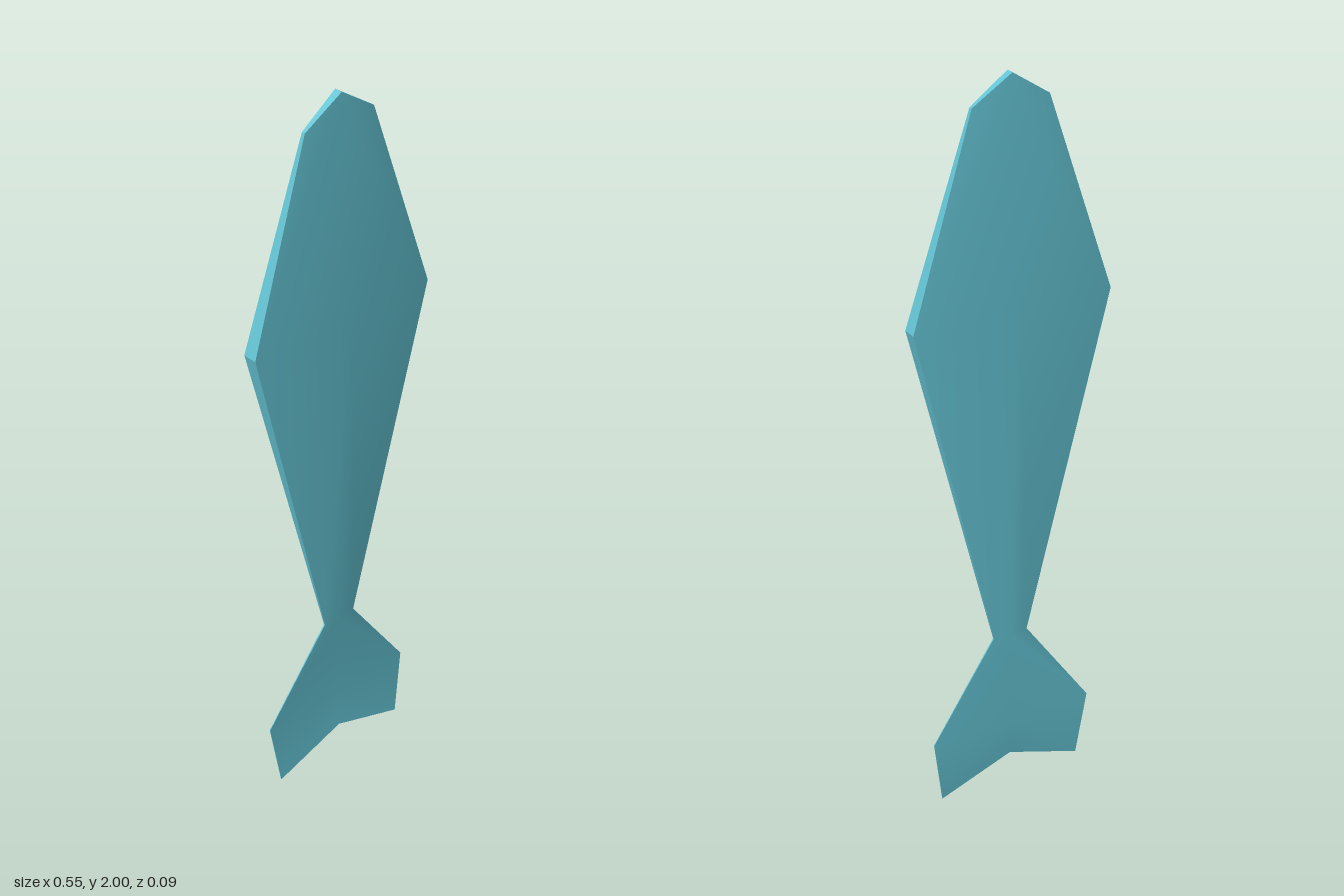
import * as THREE from 'three';

// Cross-sections from nose to tail tip:
// edge height, centre height, half width, centre half depth, edge half depth, z offset
const SECTIONS = [
  [1.93, 2.0, 0.105, 0.011, 0.005, -0.001],
  [1.4, 1.4, 0.277, 0.047, 0.02, -0.001],
  [0.46, 0.46, 0.05, 0.005, 0.002, 0],
  [0.19, 0.19, 0.237, 0.001, 0.001, -0.009],
  [0, 0.075, 0.21, 0.001, 0.001, 0.001],
];

// Point of a section: column -1, 0 or 1 across, side 1 front or -1 back
function point([edgeY, midY, w, midD, edgeD, z], column, side) {
  return [column * w, column ? edgeY : midY, z + side * (column ? edgeD : midD)];
}

function geometryOf(points, index) {
  let g = new THREE.BufferGeometry();
  g.setAttribute('position', new THREE.Float32BufferAttribute(points.flat(), 3));
  g.setIndex(index);
  return g;
}

// Smooth broad face, three columns wide
function faceGeometry(side) {
  const points = SECTIONS.flatMap((s) => [-1, 0, 1].map((c) => point(s, c * side, side)));
  const index = [];
  for (let r = 0; r < SECTIONS.length - 1; r++) {
    for (let c = 0; c < 2; c++) {
      const a = r * 3 + c, b = a + 1, d = a + 3, e = a + 4;
      // Mirror the diagonals about the centre line
      if (c === 0) index.push(a, d, b, b, d, e);
      else index.push(a, d, e, a, e, b);
    }
  }
  const g = geometryOf(points, index);
  g.computeVertexNormals();
  return g;
}

// Sharp strip that joins the two faces around the outline
function rimGeometry() {
  const last = SECTIONS.length - 1;
  const outline = [
    [SECTIONS[0], 0],
    ...SECTIONS.map((s) => [s, -1]),
    [SECTIONS[last], 0],
    ...[...SECTIONS].reverse().map((s) => [s, 1]),
  ];
  const points = outline.flatMap(([s, c]) => [point(s, c, 1), point(s, c, -1)]);
  const index = [];
  for (let i = 0; i < outline.length; i++) {
    const a = i * 2, b = ((i + 1) % outline.length) * 2;
    index.push(a, a + 1, b, b, a + 1, b + 1);
  }
  const g = geometryOf(points, index).toNonIndexed();
  g.computeVertexNormals();
  return g;
}

export function createModel() {
  const model = new THREE.Group();
  model.name = 'fish';
  const turquoise = new THREE.MeshStandardMaterial({ color: 0x63c3d3 });
  turquoise.name = 'turquoise';

  const add = (name, geometry) => {
    const mesh = new THREE.Mesh(geometry, turquoise);
    mesh.name = name;
    model.add(mesh);
  };
  add('frontFace', faceGeometry(1));
  add('backFace', faceGeometry(-1));
  add('rim', rimGeometry());
  return model;
}
